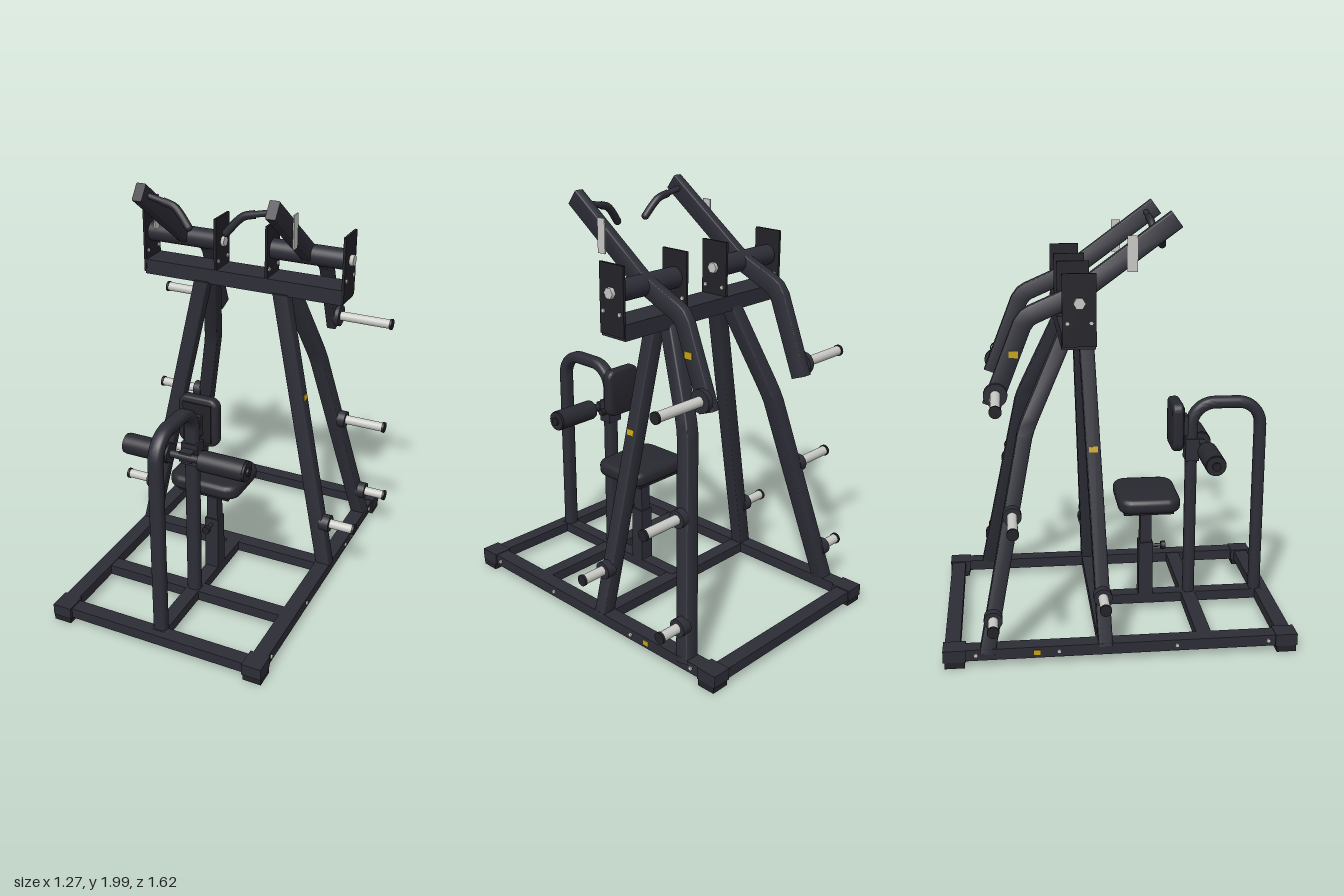
import * as THREE from 'three';
import { toCreasedNormals } from 'three/addons/utils/BufferGeometryUtils.js';

const mat = (name, color) => {
  const m = new THREE.MeshStandardMaterial({ color });
  m.name = name;
  return m;
};

export function createModel() {
  const frame = mat('dark frame paint', 0x2d2d37);
  const padMat = mat('black upholstery', 0x282830);
  const plateMat = mat('black plate', 0x222228);
  const silver = mat('silver steel', 0xc9c9c6);
  const yellow = mat('yellow sticker', 0xc9a416);

  const root = new THREE.Group();
  root.name = 'pulldownMachine';
  const add = (name, geo, m, x = 0, y = 0, z = 0) => {
    const mesh = new THREE.Mesh(geo, m);
    mesh.name = name;
    mesh.position.set(x, y, z);
    root.add(mesh);
    return mesh;
  };

  // box given by its min and max on each axis
  const box = (name, m, x0, x1, y0, y1, z0, z1) =>
    add(name, new THREE.BoxGeometry(Math.abs(x1 - x0), y1 - y0, z1 - z0), m,
      (x0 + x1) / 2, (y0 + y1) / 2, (z0 + z1) / 2);

  // cylinder lying along x
  const rod = (name, m, r, x0, x1, y, z, sides = 24) => {
    const geo = new THREE.CylinderGeometry(r, r, Math.abs(x1 - x0), sides).rotateZ(Math.PI / 2);
    return add(name, geo, m, (x0 + x1) / 2, y, z);
  };

  // rounded-rectangle bar swept along a path bent in the y-z plane
  const bar = (name, m, path, w, h, r = 0.008) => {
    const pts = path.map((p) => new THREE.Vector3(...p));
    const section = [];
    [[1, 1], [-1, 1], [-1, -1], [1, -1]].forEach(([sx, sy], k) => {
      for (let i = 0; i <= 4; i++) {
        const a = (k + i / 4) * Math.PI / 2;
        section.push([sx * (w / 2 - r) + r * Math.cos(a), sy * (h / 2 - r) + r * Math.sin(a)]);
      }
    });
    const dir = (a, b) => new THREE.Vector3(0, b.y - a.y, b.z - a.z).normalize();
    const rings = pts.map((p, i) => {
      const t0 = dir(pts[Math.max(i - 1, 0)], pts[Math.max(i, 1)]);
      const t1 = dir(pts[Math.min(i, pts.length - 2)], pts[Math.min(i + 1, pts.length - 1)]);
      const t = t0.clone().add(t1).normalize();
      const n = t.clone().cross(new THREE.Vector3(1, 0, 0)).divideScalar(t.dot(t0));
      return section.map(([u, v]) => p.clone().addScaledVector(n, v).add(new THREE.Vector3(u, 0, 0)));
    });
    const out = [];
    const tri = (...vs) => vs.forEach((v) => out.push(v.x, v.y, v.z));
    const N = section.length;
    for (let i = 0; i < rings.length - 1; i++) {
      for (let j = 0; j < N; j++) {
        const k = (j + 1) % N;
        tri(rings[i][j], rings[i][k], rings[i + 1][k]);
        tri(rings[i][j], rings[i + 1][k], rings[i + 1][j]);
      }
    }
    const last = rings[rings.length - 1];
    for (let j = 1; j < N - 1; j++) {
      tri(rings[0][0], rings[0][j + 1], rings[0][j]);
      tri(last[0], last[j], last[j + 1]);
    }
    const geo = new THREE.BufferGeometry();
    geo.setAttribute('position', new THREE.Float32BufferAttribute(out, 3));
    geo.computeVertexNormals();
    return add(name, toCreasedNormals(geo, 0.6), m);
  };

  // cushion with rounded outline and soft edges, thickness along z
  const cushion = (w, h, d, r, b) => {
    const s = new THREE.Shape();
    const x = w / 2 - b, y = h / 2 - b;
    s.absarc(x - r, y - r, r, 0, Math.PI / 2);
    s.absarc(-x + r, y - r, r, Math.PI / 2, Math.PI);
    s.absarc(-x + r, -y + r, r, Math.PI, Math.PI * 1.5);
    s.absarc(x - r, -y + r, r, Math.PI * 1.5, Math.PI * 2);
    const geo = new THREE.ExtrudeGeometry(s, {
      depth: d - 2 * b, bevelSize: b, bevelThickness: b, bevelSegments: 4, curveSegments: 8,
    });
    return toCreasedNormals(geo.center(), 0.7);
  };

  // base cross bars and spine
  for (const z of [-0.77, -0.075, 0.385, 0.76])
    box('baseCrossBar', frame, -0.46, 0.46, 0.03, 0.08, z - 0.035, z + 0.035);
  box('baseSpine', frame, -0.033, 0.033, 0.031, 0.081, -0.075, 0.76);

  // top beam
  box('topBeam', frame, -0.505, 0.505, 1.443, 1.515, -0.26, -0.115);

  for (const s of [1, -1]) {
    // side rail with feet and bolts
    box('sideRail', frame, s * 0.455, s * 0.527, 0.03, 0.083, -0.8, 0.8);
    for (const z of [-0.76, 0.76]) {
      box('foot', plateMat, s * 0.447, s * 0.535, 0, 0.03, z - 0.045, z + 0.045);
      box('railCap', frame, s * 0.442, s * 0.535, 0.03, 0.086, z - 0.052, z + 0.05);
    }
    for (const z of [0.675, 0.25, -0.29, -0.665])
      rod('railBolt', silver, 0.01, s * 0.52, s * 0.534, 0.057, z, 6);
    box('railSticker', yellow, s * 0.526, s * 0.53, 0.045, 0.068, -0.405, -0.375);

    // legs leaning in to the top beam
    const legX = (y) => s * (0.205 + (1.44 - y) * 0.21);
    const leg = (y, z) => [legX(y), y, z];
    bar('frontLeg', frame, [leg(0.07, -0.078), leg(1.45, -0.135)], 0.073, 0.066);
    bar('rearLeg', frame, [leg(0.06, -0.612), leg(1.01, -0.42), leg(1.05, -0.407),
      leg(1.09, -0.39), leg(1.45, -0.225)], 0.073, 0.07);
    const sticker = box('legSticker', yellow, -0.002, 0.002, -0.013, 0.013, -0.02, 0.02);
    sticker.position.set(legX(0.95) + s * 0.0375, 0.95, -0.115);
    sticker.rotation.z = s * 0.207;

    // pivot housing: plates, roller and bolts
    for (const [x, y0] of [[0.505, 1.455], [0.13, 1.515]]) {
      box('pivotPlate', plateMat, s * (x - 0.006), s * (x + 0.006), y0, 1.763, -0.257, -0.113);
      for (const z of [-0.135, -0.235])
        rod('plateBolt', silver, 0.01, s * (x - 0.012), s * (x + 0.012), 1.555, z, 6);
    }
    rod('pivotRoller', frame, 0.048, s * 0.136, s * 0.499, 1.64, -0.185, 32);
    rod('pivotNut', silver, 0.026, s * 0.511, s * 0.53, 1.64, -0.185, 6);
    rod('pivotNut', silver, 0.026, s * 0.108, s * 0.124, 1.64, -0.185, 6);

    // swinging arm
    const ax = s * 0.313;
    bar('swingArm', frame, [[ax, 1.96, 0.25], [ax, 1.645, -0.18], [ax, 1.56, -0.375],
      [ax, 1.545, -0.398], [ax, 1.515, -0.42], [ax, 1.16, -0.56]], 0.047, 0.083, 0.006);
    box('armLabel', silver, s * 0.336, s * 0.342, 1.74, 1.895, 0.035, 0.08);
    const tag = box('armSticker', yellow, s * 0.336, s * 0.34, 1.375, 1.405, -0.48, -0.44);
    tag.rotation.x = 0.05;

    // handle and grip
    const v = (x, y, z) => new THREE.Vector3(s * x, y, z);
    const stem = new THREE.LineCurve3(v(0.3, 1.935, 0.2), v(0.18, 1.91, 0.205));
    add('handleStem', new THREE.TubeGeometry(stem, 1, 0.014, 12), frame);
    const curve = new THREE.CatmullRomCurve3([v(0.22, 1.918, 0.203), v(0.165, 1.903, 0.207),
      v(0.135, 1.878, 0.212), v(0.09, 1.825, 0.222)]);
    add('handleGrip', new THREE.TubeGeometry(curve, 16, 0.018, 14), padMat);
    const end = add('gripEnd', new THREE.SphereGeometry(0.018, 14, 8), padMat);
    end.position.copy(v(0.09, 1.825, 0.222));

    // weight pegs: flange start, flange end, tip, y, z, flange radius
    for (const [x0, x1, tip, y, z, r] of [
      [0.33, 0.357, 0.622, 1.213, -0.543, 0.053],
      [0.39, 0.432, 0.637, 0.675, -0.485, 0.042],
      [0.48, 0.528, 0.637, 0.22, -0.582, 0.042],
      [0.46, 0.51, 0.637, 0.3, -0.088, 0.042]]) {
      rod('pegFlange', frame, r, s * x0, s * x1, y, z);
      rod('weightPeg', silver, 0.023, s * x1, s * (tip - 0.012), y, z);
      rod('pegCap', plateMat, 0.027, s * (tip - 0.012), s * tip, y, z);
    }

    // thigh roller
    rod('thighRoller', padMat, 0.046, s * 0.075, s * 0.305, 0.835, 0.455, 32);
    rod('thighRollerRim', padMat, 0.049, s * 0.085, s * 0.295, 0.835, 0.455, 32);
    rod('thighRollerCap', plateMat, 0.02, s * 0.305, s * 0.315, 0.835, 0.455);
  }

  // arched front post
  const arch = [[0, 0.05, 0.728]];
  for (let i = 0; i <= 10; i++) {
    const a = i / 10 * Math.PI / 2;
    arch.push([0, 0.945 + 0.112 * Math.sin(a), 0.616 + 0.112 * Math.cos(a)]);
  }
  for (let i = 0; i <= 10; i++) {
    const a = Math.PI / 2 * (1 + i / 10);
    arch.push([0, 0.945 + 0.112 * Math.sin(a), 0.503 + 0.112 * Math.cos(a)]);
  }
  arch.push([0, 0.05, 0.391]);
  bar('archPost', frame, arch, 0.066, 0.056, 0.022);

  // thigh roller carrier
  box('rollerSleeve', frame, -0.04, 0.04, 0.775, 0.885, 0.358, 0.425);
  box('rollerLink', frame, -0.03, 0.03, 0.81, 0.86, 0.42, 0.465);
  rod('rollerAxle', frame, 0.018, -0.08, 0.08, 0.835, 0.455);
  rod('sleeveKnob', plateMat, 0.017, 0.04, 0.065, 0.83, 0.393);

  // chest pad
  add('chestPad', cushion(0.2, 0.24, 0.055, 0.025, 0.018), padMat, 0, 0.957, 0.312);
  box('chestPadPlate', plateMat, -0.07, 0.07, 0.86, 1.05, 0.338, 0.345);
  box('chestPadMount', frame, -0.03, 0.03, 0.9, 1.0, 0.342, 0.37);

  // seat with adjustable post
  add('seat', cushion(0.36, 0.3, 0.072, 0.045, 0.025).rotateX(-Math.PI / 2), padMat, 0, 0.594, 0.172);
  box('seatPlate', plateMat, -0.13, 0.13, 0.54, 0.56, 0.05, 0.29);
  box('seatPost', frame, -0.028, 0.028, 0.3, 0.545, 0.142, 0.198);
  box('seatSleeve', frame, -0.035, 0.035, 0.08, 0.357, 0.135, 0.205);
  const pin = new THREE.CylinderGeometry(0.009, 0.009, 0.06, 12).rotateX(Math.PI / 2);
  add('seatPin', pin, frame, 0, 0.327, 0.23);
  const knob = new THREE.CylinderGeometry(0.02, 0.02, 0.022, 16).rotateX(Math.PI / 2);
  add('seatPinKnob', knob, plateMat, 0, 0.327, 0.259);

  return root;
}
